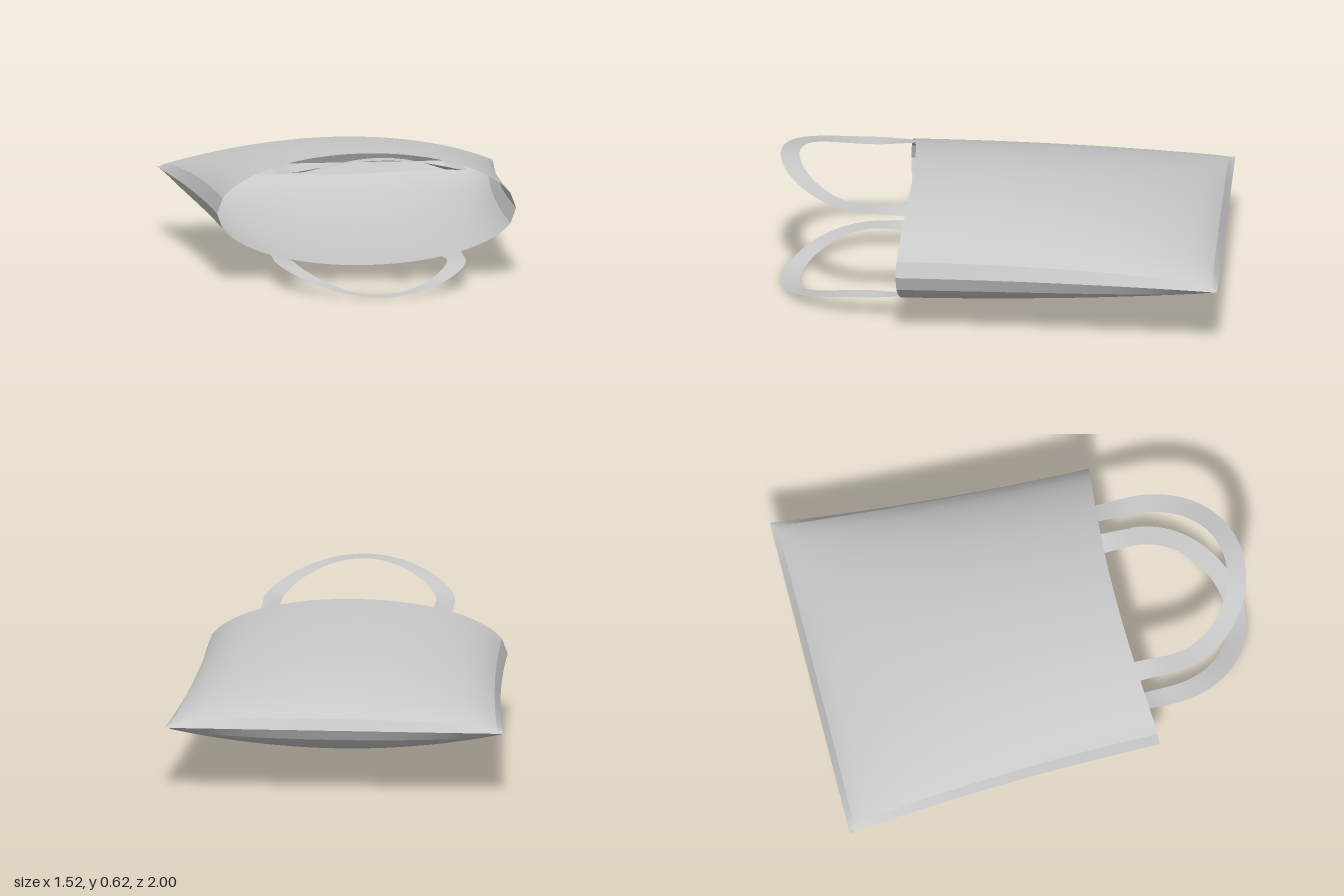
import * as THREE from 'three';
import { toCreasedNormals } from 'three/addons/utils/BufferGeometryUtils.js';

const MID = 0.31;      // height of the side seams
const MOUTH_W = 0.676; // half width at the mouth
const PUFF = 0.253;    // half thickness at the mouth
const LEG_Z = 0.57;    // where the handle legs turn into the arc

// Bends a plane by rule(a, b), a and b in -1..1, returning [x, height above seam, z].
// side = 1 makes the upper sheet, -1 the mirrored lower one.
function sheet(rule, nu, nv, side) {
  const geo = new THREE.PlaneGeometry(2, 2, nu, nv);
  const pos = geo.attributes.position;
  for (let i = 0; i < pos.count; i++) {
    const [x, h, z] = rule(pos.getX(i) * side, pos.getY(i));
    pos.setXYZ(i, x, MID + side * h, z);
  }
  return toCreasedNormals(geo, THREE.MathUtils.degToRad(20));
}

const ellipse = (t) => Math.sqrt(Math.max(0, 1 - t * t));
const mouthZ = (u) => 0.4 + 0.05 * u * u;

// Puffed panel: pinched flat along the closed end and both side seams
function panel(u, b) {
  const t = (1 + b) / 2; // 0 at the mouth, 1 at the closed end
  const x = u * (MOUTH_W + 0.086 * t * t);
  const z = THREE.MathUtils.lerp(mouthZ(u), -1, t);
  return [x, PUFF * ellipse(u) * ellipse(t), z];
}

// Flat strap: two legs from the mouth edge joined by a rising half ring
function strap(s, b) {
  const r = 0.3875 - 0.0425 * b;
  const k = (Math.abs(s) - 0.75) / 0.25;
  if (k > 0) {
    const u = r / MOUTH_W;
    return [
      Math.sign(s) * r,
      THREE.MathUtils.lerp(0.205, PUFF * ellipse(u), k),
      THREE.MathUtils.lerp(LEG_Z, mouthZ(u), k),
    ];
  }
  const a = (s / 0.75) * Math.PI / 2;
  return [r * Math.sin(a), 0.205 + 0.105 * Math.cos(a) ** 2, LEG_Z + r * Math.cos(a)];
}

export function createModel() {
  const group = new THREE.Group();
  const fabric = new THREE.MeshStandardMaterial({ color: 0xc8c8c8, side: THREE.DoubleSide });
  fabric.name = 'light grey fabric';

  const add = (name, geo) => {
    const mesh = new THREE.Mesh(geo, fabric);
    mesh.name = name;
    group.add(mesh);
  };

  for (const [side, label] of [[1, 'upper'], [-1, 'lower']]) {
    add(label + 'Panel', sheet(panel, 54, 54, side));
    add(label + 'Handle', sheet(strap, 64, 2, side));
  }
  return group;
}
